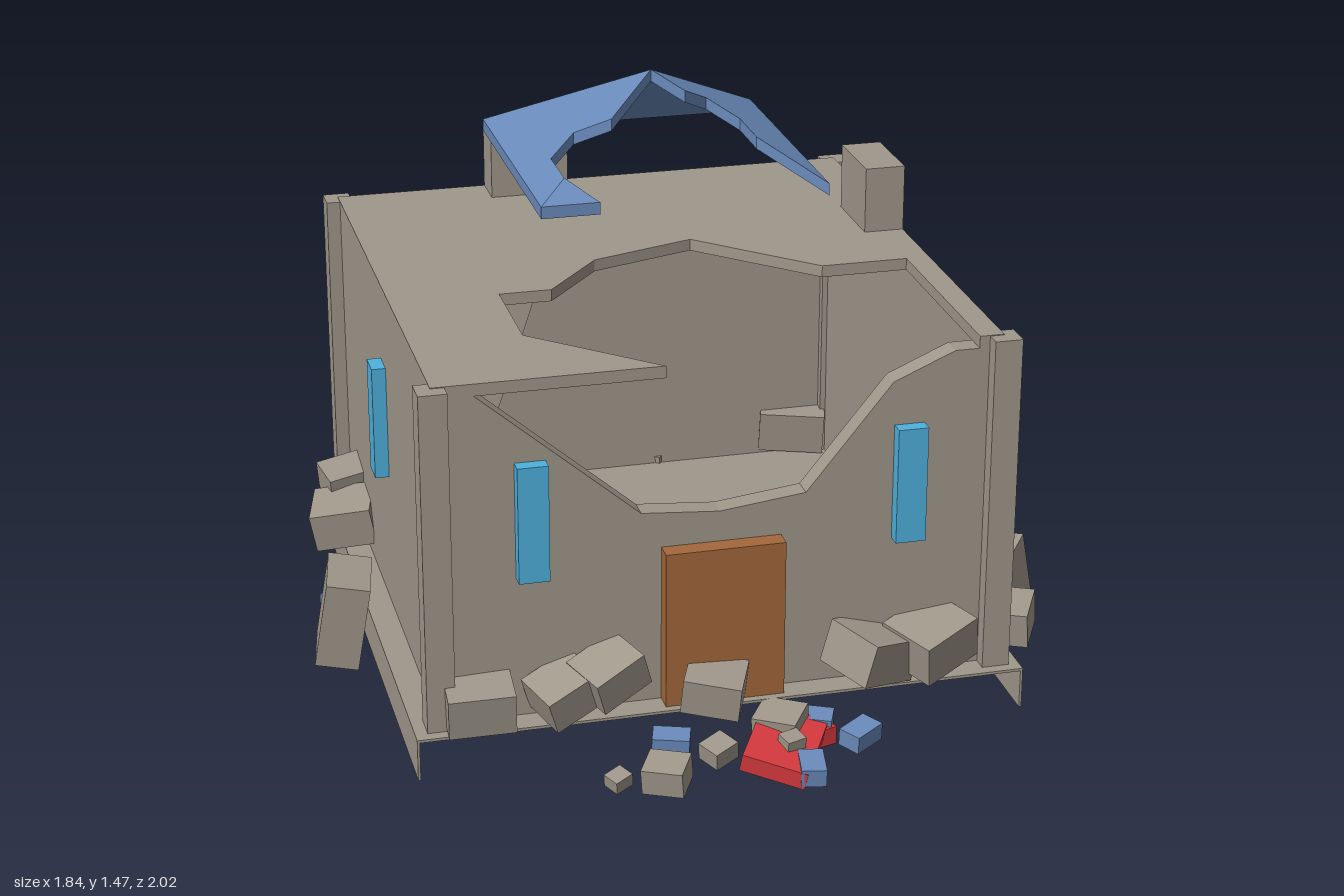
import * as THREE from 'three';

const mat = (name, color) => {
  const m = new THREE.MeshStandardMaterial({ color });
  m.name = name;
  return m;
};

export function createModel() {
  const root = new THREE.Group();
  root.name = 'ruinedHouse';
  const stone = mat('stone', 0x9f978a);
  const blue = mat('roofBlue', 0x6a8bbb);
  const glass = mat('windowBlue', 0x4eb1dd);
  const wood = mat('wood', 0xa4683b);
  const red = mat('red', 0xd63a3e);

  const add = (name, geo, m) => {
    const mesh = new THREE.Mesh(geo, m);
    mesh.name = name;
    root.add(mesh);
    return mesh;
  };
  // upright box given by its ranges on x, y and z
  const span = (name, m, x0, x1, y0, y1, z0, z1) => {
    const mesh = add(name, new THREE.BoxGeometry(x1 - x0, y1 - y0, z1 - z0), m);
    mesh.position.set((x0 + x1) / 2, (y0 + y1) / 2, (z0 + z1) / 2);
  };
  // loose box with a centre and a rotation
  const block = (name, m, pos, size, rot) => {
    const mesh = add(name, new THREE.BoxGeometry(...size), m);
    mesh.position.set(...pos);
    mesh.rotation.set(...rot);
    return mesh;
  };
  const extrude = (pts, depth) => new THREE.ExtrudeGeometry(
    new THREE.Shape(pts.map(p => new THREE.Vector2(...p))), { depth, bevelEnabled: false });

  // Raised floor plate on thin skirts, open at the front
  span('floorPlate', stone, -0.765, 0.73, 0.098, 0.105, -0.75, 0.747);
  for (const x of [-0.765, 0.724]) span('sideSkirt', stone, x, x + 0.006, 0, 0.1, -0.75, 0.747);
  span('backSkirt', stone, -0.76, 0.725, 0, 0.1, -0.75, -0.744);

  // Thin walls
  for (const x of [-0.7, 0.65]) span('sideWall', stone, x, x + 0.02, 0.105, 0.93, -0.69, 0.68);
  span('backWall', stone, -0.68, 0.65, 0.105, 0.93, -0.69, -0.675);

  // Front wall with the broken gap
  const front = extrude([
    [-0.68, 0.105], [0.65, 0.105], [0.65, 0.93], [0.55, 0.93], [0.4, 0.865],
    [0.19, 0.605], [-0.02, 0.58], [-0.21, 0.595], [-0.6, 0.93], [-0.68, 0.93],
  ], 0.055);
  add('frontWall', front, stone).position.z = 0.625;

  // Flat roof slab with a jagged hole, open at the front
  const slab = extrude([
    [-0.7, 0.68], [-0.15, 0.68], [-0.43, 0.41], [-0.43, 0.13], [-0.3, 0.13], [-0.15, -0.05],
    [0.12, -0.14], [0.39, 0.13], [0.61, 0.13], [0.61, 0.68], [0.67, 0.68],
    [0.67, -0.69], [-0.7, -0.69],
  ], 0.03);
  add('roofSlab', slab.rotateX(Math.PI / 2), stone).position.y = 0.96;

  // Corner pillars
  for (const x of [-0.735, 0.635])
    for (const z of [-0.72, 0.65]) span('cornerPillar', stone, x, x + 0.068, 0.105, 0.958, z, z + 0.069);

  // Rooftop blocks
  span('roofBlockBack', stone, -0.305, -0.1, 0.95, 1.13, -0.69, -0.585);
  span('roofBlockSide', stone, 0.568, 0.671, 0.95, 1.13, -0.29, -0.083);

  // Door and windows
  span('door', wood, -0.162, 0.13, 0.105, 0.503, 0.67, 0.727);
  for (const x of [-0.473, 0.442]) span('frontWindow', glass, x - 0.037, x + 0.037, 0.463, 0.755, 0.67, 0.715);
  for (const x of [-0.717, 0.683]) span('sideWindow', glass, x - 0.018, x + 0.018, 0.463, 0.755, -0.036, 0.036);

  // Floating broken pyramid roof: plan outlines lifted onto the slopes
  const R = 0.352;
  const spire = (name, pts) => {
    const geo = extrude(pts, 0.03).rotateX(Math.PI / 2);
    const p = geo.attributes.position;
    for (let i = 0; i < p.count; i++) {
      const r = Math.max(Math.abs(p.getX(i)), Math.abs(p.getZ(i)));
      p.setY(i, p.getY(i) + 1.46 - 0.588 * r);
    }
    geo.computeVertexNormals();
    add(name, geo, blue).position.x = -0.017;
  };
  spire('spireBack', [[0, 0], [-R, -R], [R, -R]]);
  spire('spireRight', [[0, 0], [-0.13, 0.13], [-0.21, 0.07], [-0.28, 0.13], [-0.28, 0.28], [-R, R], [-R, -R]]);
  spire('spireLeft', [[0, 0], [R, -R], [R, R], [0.21, 0.21], [0.21, 0.06], [0.14, 0], [0.07, 0.06]]);
  spire('spireFrontScrap', [[-R, R], [-0.28, 0.28], [-0.21, R]]);

  // Wedge of masonry driven through the back wall, deeper at its foot
  const wedge = block('wallBreaker', stone, [-0.352, 0.552, -0.815], [0.287, 0.573, 0.17], [0.275, -0.198, -0.289]);
  const wp = wedge.geometry.attributes.position;
  for (let i = 0; i < wp.count; i++)
    if (wp.getY(i) < 0 && wp.getZ(i) > 0) wp.setZ(i, wp.getZ(i) + 0.22);
  wedge.geometry.computeVertexNormals();

  // Large fallen blocks
  block('rightBoulder', stone, [-0.835, 0.13, 0.085], [0.11, 0.23, 0.17], [0.08, -0.18, -0.15]);
  block('leftBoulder', stone, [0.8, 0.135, 0.345], [0.12, 0.2, 0.18], [0.25, -0.65, 0.25]);
  block('plank', wood, [0.69, 0.2, 0.325], [0.15, 0.05, 0.05], [0, -0.1, 0]);
  block('redSlab', red, [0.09, 0.045, 0.87], [0.16, 0.045, 0.23], [0.12, -0.5, -0.15]);
  block('redChip', red, [0.18, 0.03, 0.79], [0.08, 0.045, 0.1], [0, 0.3, 0]);

  // Stone rubble: x, y, z, width, yaw, roll; height and depth follow the width
  for (const [x, y, z, w, yaw, roll] of [
    [0.16, 0.075, -0.79, 0.18, -0.7, 0.1], [0.57, 0.18, -0.715, 0.18, -0.28, 0],
    [-0.76, 0.19, -0.35, 0.16, -0.25, 0.2], [-0.74, 0.25, -0.46, 0.12, 0.2, 0.1],
    [0.745, 0.155, 0.56, 0.14, -0.5, 0.1], [0.35, 0.19, 0.72, 0.17, 0.5, -0.3],
    [0.5, 0.2, 0.715, 0.17, 0.5, 0.12], [-0.61, 0.17, 0.705, 0.16, -0.05, 0.03],
    [-0.41, 0.18, 0.725, 0.14, 0.35, 0.3], [-0.3, 0.215, 0.725, 0.14, 0.4, 0.3],
    [-0.05, 0.16, 0.755, 0.14, -0.4, -0.05], [-0.32, 0.025, 0.9, 0.05, 0.5, 0.1],
    [-0.21, 0.04, 0.925, 0.1, -0.5, 0.1], [-0.06, 0.03, 0.83, 0.07, 0.5, 0.1],
    [0.1, 0.065, 0.8, 0.11, -0.6, 0.1], [0.1, 0.07, 0.9, 0.05, 0.3, 0],
  ]) block('rubble', stone, [x, y, z], [w, w * 0.65, w * 0.9], [0.15, yaw, roll]);

  // Fallen roof tiles: x, y, z, yaw
  for (const [x, y, z, yaw] of [
    [-0.805, 0.03, -0.175, 0.4], [0.69, 0.18, 0.4, 1.4], [-0.16, 0.035, 0.77, -0.3],
    [0.13, 0.03, 0.965, 1.4], [0.29, 0.03, 0.835, 0.6], [0.19, 0.05, 0.78, -0.4],
  ]) block('tile', blue, [x, y, z], [0.09, 0.045, 0.06], [0.1, yaw, 0]);

  return root;
}
